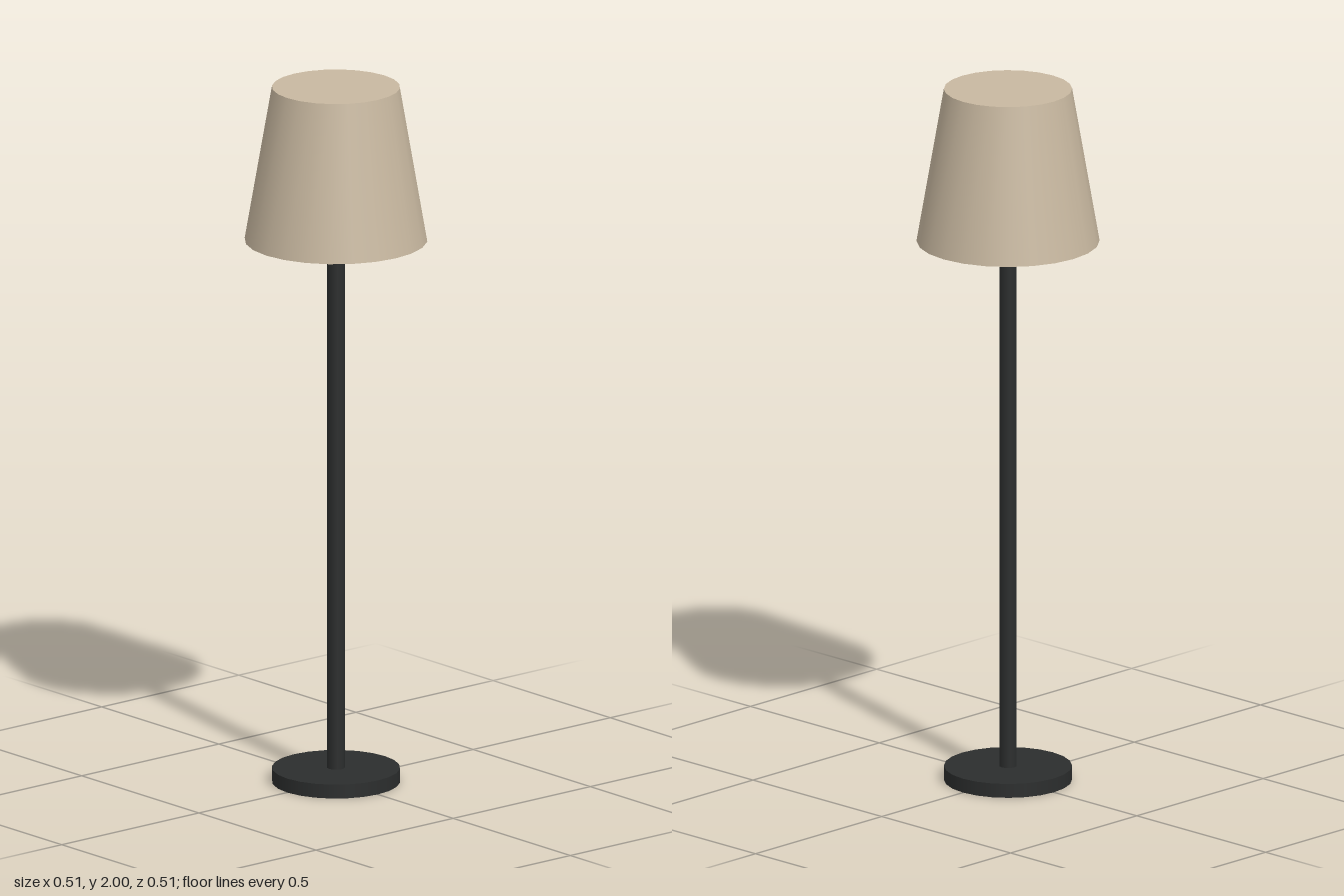
import * as THREE from 'three';

export function createModel() {
  const lamp = new THREE.Group();
  lamp.name = 'floorLamp';

  const dark = new THREE.MeshStandardMaterial({ color: 0x2b2d2d });
  const fabric = new THREE.MeshStandardMaterial({ color: 0xc8b8a0 });

  // Round part standing between two heights
  const addRound = (name, topRadius, bottomRadius, y0, y1, sides, material) => {
    const geometry = new THREE.CylinderGeometry(topRadius, bottomRadius, y1 - y0, sides);
    const mesh = new THREE.Mesh(geometry, material);
    mesh.name = name;
    mesh.position.y = (y0 + y1) / 2;
    lamp.add(mesh);
  };

  addRound('base', 0.178, 0.178, 0, 0.04, 24, dark);
  addRound('pole', 0.025, 0.025, 0.04, 1.56, 12, dark);
  // Tapered shade, closed at top and bottom
  addRound('shade', 0.178, 0.254, 1.56, 2, 24, fabric);

  return lamp;
}
